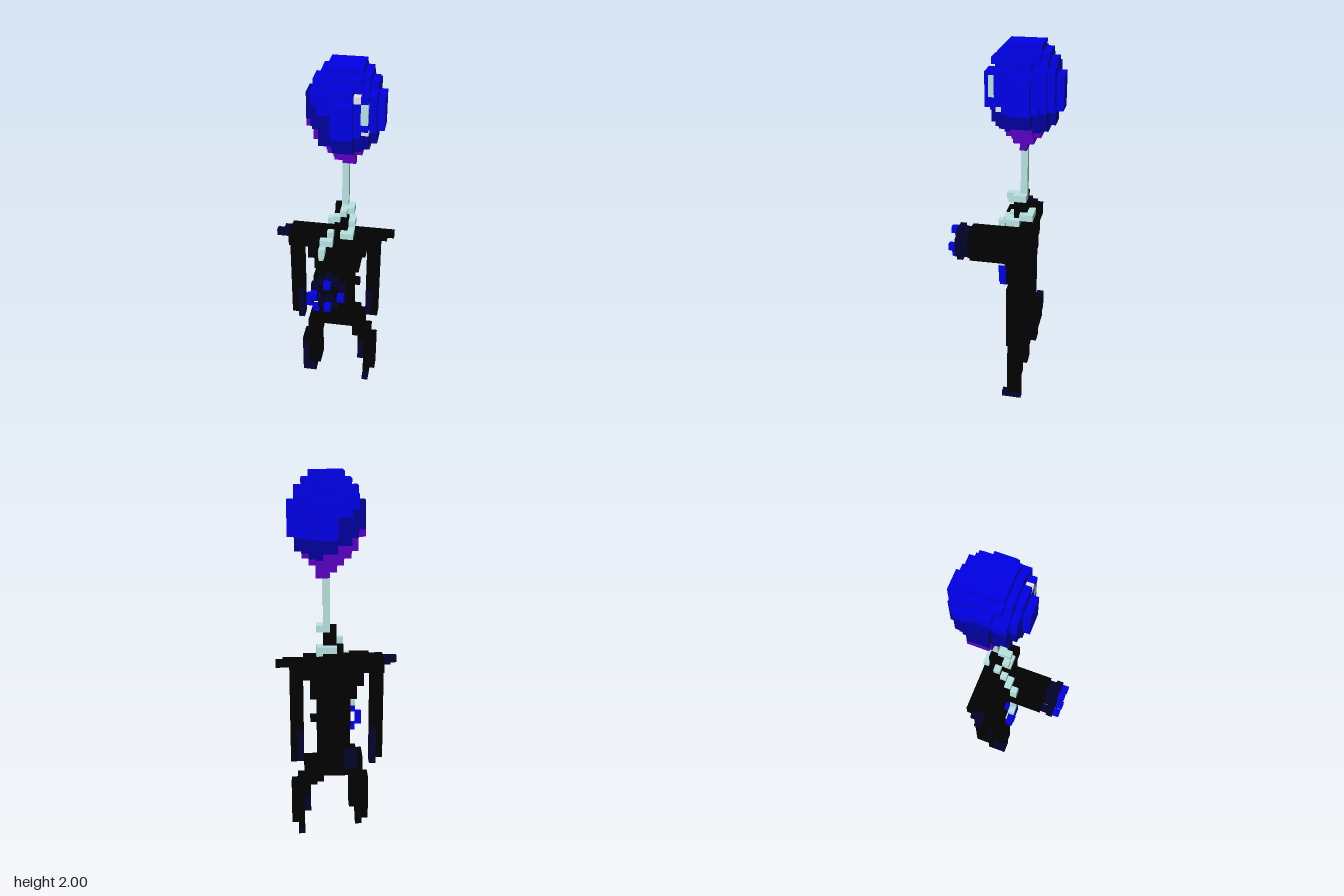
import * as THREE from 'three';
import { mergeGeometries } from 'three/addons/utils/BufferGeometryUtils.js';

const U = 2 / 56; // block size; the grid is 18 x 56 x 17 blocks

export function createModel() {
  const colors = {
    black: 0x010101, navy: 0x02022c, blue: 0x0000ee, darkBlue: 0x00009c,
    purple: 0x5a00c4, paleString: 0xb8e4e2, lightGrey: 0xe6e6e6,
  };
  const materials = {};
  for (const name in colors) {
    materials[name] = new THREE.MeshStandardMaterial({ color: colors[name] });
    materials[name].name = name;
  }

  const grid = new Map();
  // Fill a block range, inclusive start and exclusive end
  function fill(part, color, [i0, i1], [j0, j1], [k0, k1]) {
    for (let i = i0; i < i1; i++)
      for (let j = j0; j < j1; j++)
        for (let k = k0; k < k1; k++) grid.set(`${i},${j},${k}`, { part, color, i, j, k });
  }
  const dot = (part, color, i, j, k) => fill(part, color, [i, i + 1], [j, j + 1], [k, k + 1]);

  // Balloon: stacked discs from the knot up, as [half width, squared radius]
  const wide = [5, 26], low = [4, 18];
  const layers = [[0, 0], [1, 2], [2, 5], [3, 10], low, low, wide, wide, wide, wide, wide,
    [4, 25], [4, 18], [3, 13], [2, 8]];
  layers.forEach(([half, r2], n) => {
    const j = 41 + n;
    for (let x = -half; x <= half; x++)
      for (let z = -half; z <= half; z++) {
        if (x * x + z * z > r2) continue;
        if (j === 47 && Math.abs(x) + Math.abs(z) > 6) continue;
        const slope = j + 0.6 * x;
        let color = 'blue';
        if (j < 47 || (x <= -2 && slope <= 48)) color = 'darkBlue';
        if (j < 44 || (j === 44 && Math.abs(z) < 2)) color = 'purple';
        if (slope + 0.5 * Math.max(z - 1, 0) <= 44) color = 'purple';
        dot('balloon', color, 10 + x, j, 5 + z);
      }
  });
  dot('balloon', 'purple', 11, 41, 5);
  fill('balloonHighlight', 'paleString', [13, 14], [49, 52], [9, 10]);
  dot('balloonHighlight', 'lightGrey', 12, 52, 9);
  dot('balloonHighlight', 'lightGrey', 13, 47, 8);

  // Shoulder bar, slightly turned
  fill('shoulders', 'black', [2, 14], [27, 29], [4, 8]);
  fill('shoulders', 'black', [4, 7], [28, 29], [8, 9]);
  fill('shoulders', 'black', [14, 16], [27, 29], [4, 6]);
  fill('shoulders', 'navy', [1, 2], [28, 29], [5, 7]);
  dot('shoulders', 'navy', 0, 28, 6);
  fill('shoulders', 'black', [16, 17], [28, 29], [4, 6]);
  dot('shoulders', 'black', 17, 28, 4);

  // Torso narrowing to the waist, with a notch in front
  fill('torso', 'black', [5, 14], [26, 27], [4, 8]);
  fill('torso', 'black', [5, 13], [25, 26], [4, 8]);
  fill('torso', 'black', [6, 13], [23, 25], [4, 8]);
  fill('torso', 'black', [7, 12], [19, 23], [4, 8]);
  fill('torso', 'black', [7, 12], [18, 19], [4, 7]);
  fill('torso', 'black', [7, 12], [13, 18], [4, 8]);
  dot('torso', 'black', 12, 19, 5);

  // Hips
  fill('hips', 'black', [6, 12], [12, 14], [4, 8]);
  fill('hips', 'black', [6, 13], [11, 13], [4, 7]);
  fill('hips', 'black', [7, 11], [11, 15], [3, 4]);
  fill('hips', 'black', [11, 13], [10, 13], [3, 4]);
  fill('hips', 'navy', [6, 8], [12, 15], [3, 4]);

  // Hanging arms
  fill('rightArm', 'black', [2, 4], [13, 27], [5, 7]);
  fill('rightArm', 'navy', [3, 4], [12, 18], [5, 7]);
  fill('leftArm', 'black', [14, 16], [13, 27], [4, 6]);
  fill('leftArm', 'navy', [14, 15], [13, 18], [4, 6]);

  // Legs
  fill('rightLeg', 'black', [5, 7], [9, 13], [5, 9]);
  fill('rightLeg', 'black', [4, 7], [4, 9], [6, 9]);
  fill('rightLeg', 'black', [4, 6], [2, 4], [6, 9]);
  fill('rightLeg', 'navy', [4, 5], [2, 8], [7, 9]);
  fill('rightLeg', 'navy', [5, 6], [2, 4], [7, 9]);
  dot('rightLeg', 'black', 5, 1, 6);
  dot('rightLeg', 'navy', 5, 1, 7);
  fill('leftLeg', 'black', [12, 14], [9, 13], [4, 7]);
  fill('leftLeg', 'black', [13, 15], [7, 10], [4, 7]);
  fill('leftLeg', 'black', [13, 16], [4, 9], [5, 7]);
  fill('leftLeg', 'black', [14, 16], [2, 4], [5, 7]);
  fill('leftLeg', 'navy', [13, 14], [4, 8], [5, 7]);
  fill('leftLeg', 'black', [14, 15], [1, 2], [5, 7]);
  fill('leftLeg', 'navy', [14, 15], [0, 1], [5, 8]);

  // String: straight to the balloon, wound round the neck, then hanging
  fill('string', 'paleString', [10, 11], [33, 41], [5, 6]);
  [[11, 33, 5], [11, 33, 6], [10, 33, 6], [10, 33, 7], [9, 32, 7], [8, 31, 6],
    [9, 30, 4], [10, 30, 4], [11, 30, 4], [11, 30, 5], [11, 29, 6], [11, 29, 7], [10, 29, 7],
    [8, 29, 7], [8, 28, 8], [7, 28, 8], [7, 27, 9], [7, 26, 9],
    [7, 22, 9], [7, 21, 9], [7, 20, 9], [6, 20, 9],
  ].forEach((p) => dot('string', 'paleString', ...p));

  // Forward limb: round trunk, ring and four claw tips
  for (let x = -2; x <= 2; x++)
    for (let y = -2; y <= 2; y++) {
      const d = x * x + y * y;
      if (d > 5) continue;
      fill('forwardLimb', 'black', [9 + x, 10 + x], [24 + y, 25 + y], [8, 14]);
      if (d >= 4) dot('clawRing', 'navy', 9 + x, 24 + y, 15);
      if (d === 4) {
        dot('clawRing', 'navy', 9 + x, 24 + y, 14);
        dot('clawTips', 'blue', 9 + x, 24 + y, 16);
      }
    }

  // Leaning neck stump
  fill('neck', 'black', [8, 11], [29, 31], [5, 7]);
  fill('neck', 'black', [9, 11], [31, 33], [5, 7]);
  dot('neck', 'black', 9, 33, 5);

  // Blue loop at the string's end
  [[6, 19, 9], [7, 19, 9], [5, 18, 9], [5, 17, 9], [7, 18, 8], [7, 18, 9], [7, 17, 9], [6, 16, 9]]
    .forEach((p) => dot('stringLoop', 'blue', ...p));

  // Exposed block faces: outward direction plus the turn of a square
  const H = Math.PI / 2;
  const sides = [[1, 0, 0, 0, H], [-1, 0, 0, 0, -H], [0, 1, 0, -H, 0], [0, -1, 0, H, 0],
    [0, 0, 1, 0, 0], [0, 0, -1, 0, Math.PI]];
  const parts = {};
  for (const { part, color, i, j, k } of grid.values()) {
    for (const [dx, dy, dz, rx, ry] of sides) {
      if (grid.has(`${i + dx},${j + dy},${k + dz}`)) continue;
      const g = new THREE.PlaneGeometry(U, U).rotateX(rx).rotateY(ry);
      g.translate((i - 8.5 + dx / 2) * U, (j + 0.5 + dy / 2) * U, (k - 8 + dz / 2) * U);
      ((parts[part] ??= {})[color] ??= []).push(g);
    }
  }

  const model = new THREE.Group();
  model.name = 'balloonFigure';
  for (const part in parts) {
    const group = new THREE.Group();
    group.name = part;
    for (const color in parts[part]) {
      const mesh = new THREE.Mesh(mergeGeometries(parts[part][color]), materials[color]);
      mesh.name = `${part} ${color}`;
      group.add(mesh);
    }
    model.add(group);
  }
  return model;
}
